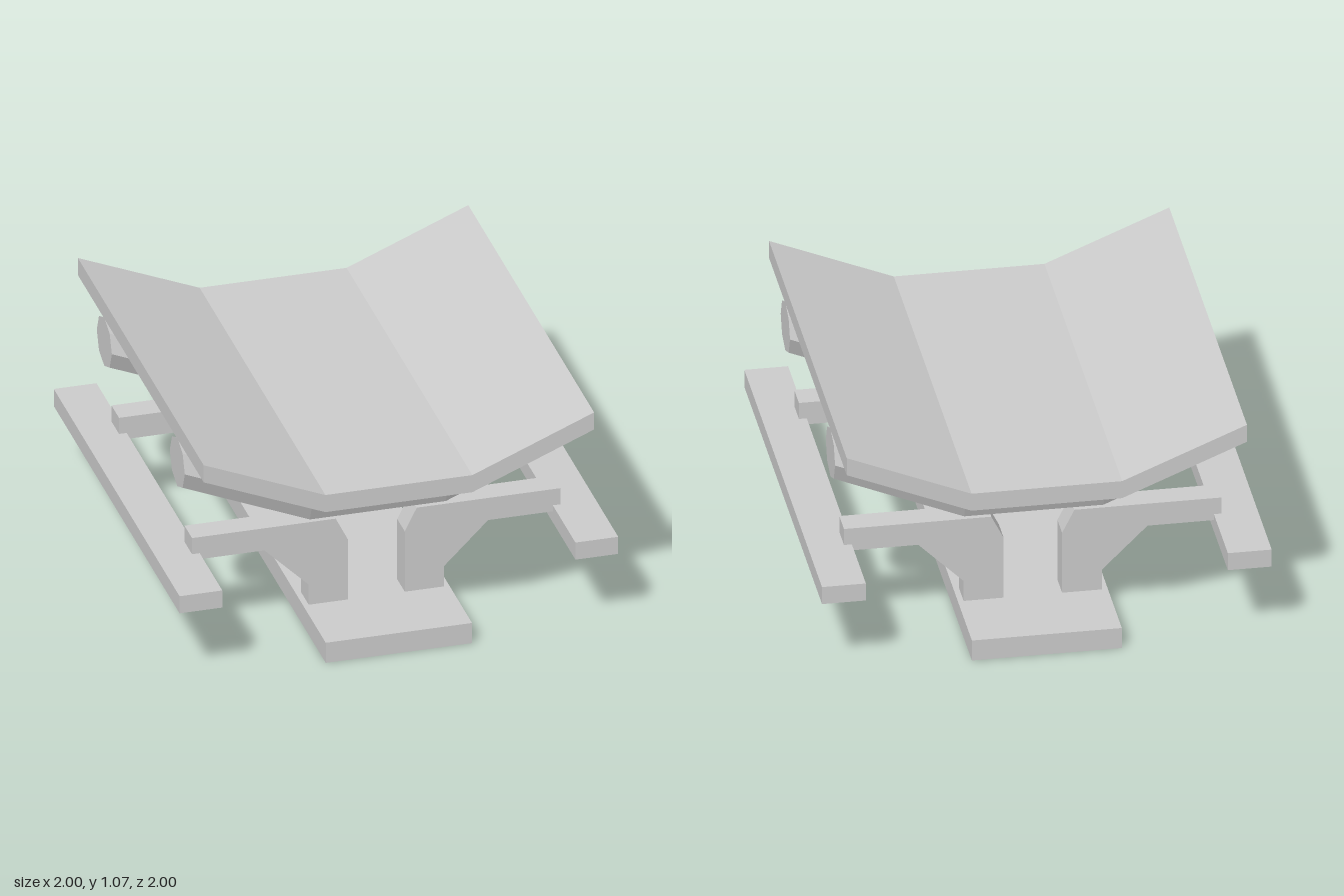
import * as THREE from 'three';

const material = new THREE.MeshStandardMaterial({ color: 0xcccccc, flatShading: true });

function addMesh(parent, name, geometry, x = 0, y = 0, z = 0) {
  const mesh = new THREE.Mesh(geometry, material);
  mesh.name = name;
  mesh.position.set(x, y, z);
  parent.add(mesh);
  return mesh;
}

// Extrude an x/y outline along z, centred on z = 0
function extrudeProfile(points, depth) {
  const shape = new THREE.Shape(points.map(([x, y]) => new THREE.Vector2(x, y)));
  return new THREE.ExtrudeGeometry(shape, { depth, bevelEnabled: false }).translate(0, 0, -depth / 2);
}

// Eight-sided roller: flat in the middle third, rising towards both ends
function troughRoller(radius, halfFlat, halfLength, rise) {
  const geometry = new THREE.CylinderGeometry(radius, radius, 3, 8, 3).rotateZ(Math.PI / 2);
  const p = geometry.attributes.position;
  for (let i = 0; i < p.count; i++) {
    const x = p.getX(i);
    const outer = Math.abs(x) > 1;
    p.setX(i, Math.sign(x) * (outer ? halfLength : halfFlat));
    if (outer) p.setY(i, p.getY(i) + rise);
  }
  const flat = geometry.toNonIndexed();
  flat.computeVertexNormals();
  return flat;
}

export function createModel() {
  const model = new THREE.Group();
  model.name = 'troughConveyor';

  // Base plank and trough-shaped belt
  addMesh(model, 'base', new THREE.BoxGeometry(0.667, 0.1, 2), 0, 0.05, 0);
  addMesh(model, 'belt', extrudeProfile([
    [-0.89, 0.98], [-0.335, 0.75], [0.335, 0.75], [0.89, 0.98],
    [0.89, 1.065], [0.335, 0.835], [-0.335, 0.835], [-0.89, 1.065],
  ], 2));

  // Side rails
  for (const side of [1, -1]) {
    addMesh(model, side > 0 ? 'leftRail' : 'rightRail',
      new THREE.BoxGeometry(0.195, 0.085, 2), side * 0.9025, 0.3875, 0);
  }

  // Two stations, each with a roller and a pair of bracket arms
  const bracket = extrudeProfile([
    [0.13, 0.1], [0.308, 0.1], [0.308, 0.2], [0.51, 0.4],
    [0.84, 0.4], [0.84, 0.51], [0.185, 0.51], [0.13, 0.4],
  ], 0.12);
  const roller = troughRoller(0.12, 0.31, 0.89, 0.243);
  for (const z of [0.58, -0.58]) {
    const station = new THREE.Group();
    station.name = z > 0 ? 'frontStation' : 'backStation';
    station.position.z = z;
    model.add(station);
    addMesh(station, 'roller', roller, 0, 0.622, 0);
    addMesh(station, 'leftBracket', bracket);
    addMesh(station, 'rightBracket', bracket).rotation.y = Math.PI;
  }
  return model;
}
